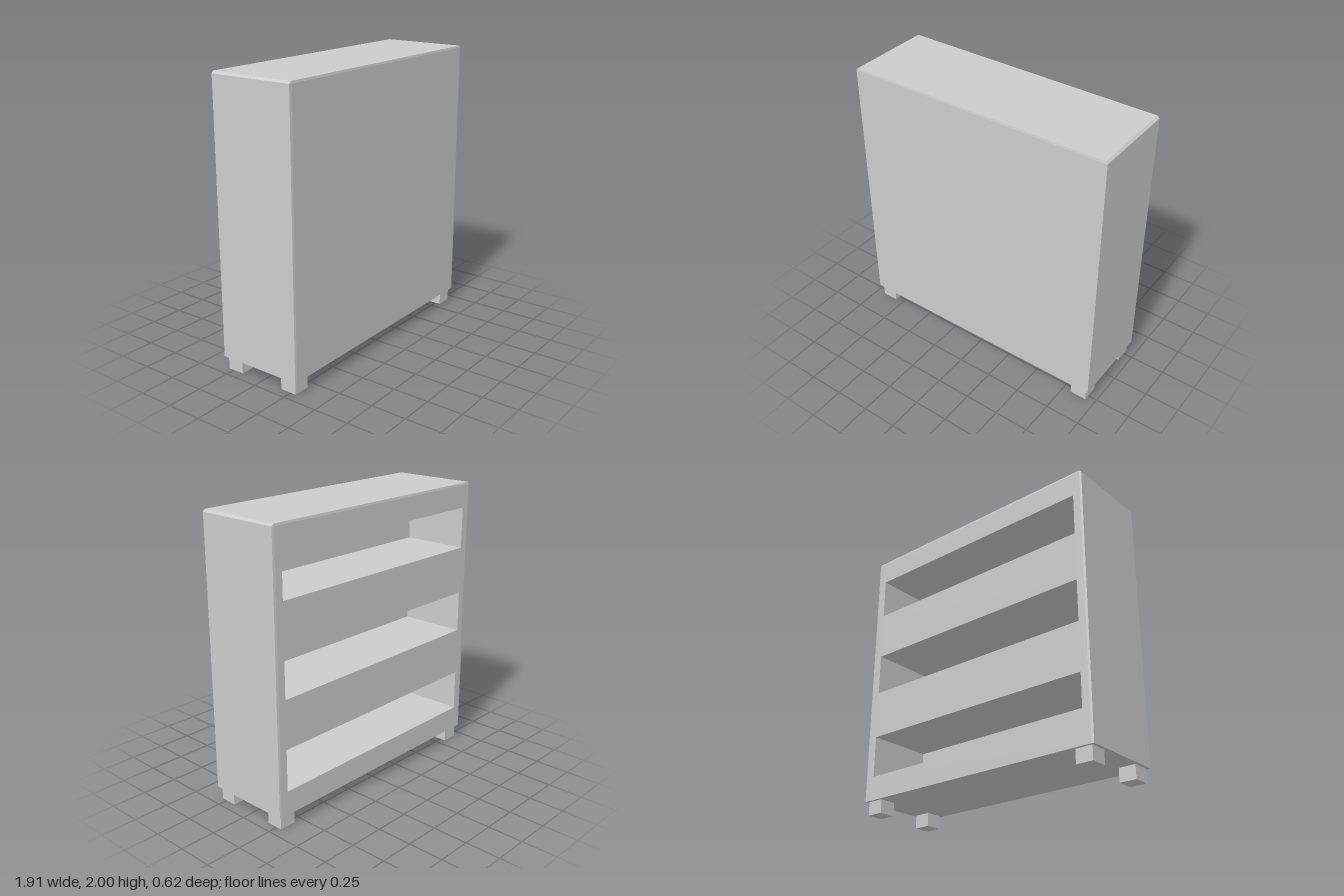
import * as THREE from 'three';

const HALF_W = 0.955, BOTTOM = 0.095, TOP = 2, HALF_D = 0.31;
const EDGE = 0.015;       // chamfer seen on the broad faces
const EDGE_DEPTH = 0.003; // how far that chamfer reaches in z
const PANEL_Z = 0.17;     // inner face of the closed front panel

const material = new THREE.MeshStandardMaterial({ color: 0xcccccc, flatShading: true });

function addMesh(parent, name, geometry) {
  const mesh = new THREE.Mesh(geometry, material);
  mesh.name = name;
  parent.add(mesh);
  return mesh;
}

// Cabinet outline with chamfered top corners
function outline() {
  return new THREE.Shape([
    new THREE.Vector2(-HALF_W, BOTTOM),
    new THREE.Vector2(HALF_W, BOTTOM),
    new THREE.Vector2(HALF_W, TOP - EDGE),
    new THREE.Vector2(HALF_W - EDGE, TOP),
    new THREE.Vector2(-HALF_W + EDGE, TOP),
    new THREE.Vector2(-HALF_W, TOP - EDGE),
  ]);
}

// Extrude from z0 to z1, chamfering the sides and top at the outer end
function chamferedSlab(shape, z0, z1, outer) {
  const geometry = new THREE.ExtrudeGeometry(shape, { depth: z1 - z0, steps: 2, bevelEnabled: false });
  geometry.translate(0, 0, z0);
  const p = geometry.attributes.position;
  const middle = (z0 + z1) / 2;
  for (let i = 0; i < p.count; i++) {
    const z = p.getZ(i);
    if (Math.abs(z - outer) < 1e-4) {
      p.setX(i, THREE.MathUtils.clamp(p.getX(i), -HALF_W + EDGE, HALF_W - EDGE));
      p.setY(i, Math.min(p.getY(i), TOP - EDGE));
    } else if (Math.abs(z - middle) < 1e-4) {
      p.setZ(i, outer - Math.sign(outer) * EDGE_DEPTH);
    }
  }
  geometry.computeVertexNormals();
  return geometry;
}

export function createModel() {
  const model = new THREE.Group();
  model.name = 'cabinet';

  // Carcass with three wide compartments open at the back
  const carcass = outline();
  const openX = 0.885, openH = 0.293;
  for (let i = 0; i < 3; i++) {
    const y = 0.264 + i * 0.633;
    carcass.holes.push(new THREE.Path([
      new THREE.Vector2(-openX, y),
      new THREE.Vector2(-openX, y + openH),
      new THREE.Vector2(openX, y + openH),
      new THREE.Vector2(openX, y),
    ]));
  }
  addMesh(model, 'carcass', chamferedSlab(carcass, -HALF_D, PANEL_Z, -HALF_D));

  // Closed front
  addMesh(model, 'frontPanel', chamferedSlab(outline(), PANEL_Z, HALF_D, HALF_D));

  // Four short square feet
  for (const x of [-1, 1]) {
    for (const z of [-1, 1]) {
      const name = (z > 0 ? 'front' : 'back') + (x > 0 ? 'Left' : 'Right') + 'Foot';
      const foot = addMesh(model, name, new THREE.BoxGeometry(0.12, BOTTOM, 0.12));
      foot.position.set(x * 0.872, BOTTOM / 2, z * 0.23);
    }
  }
  return model;
}
